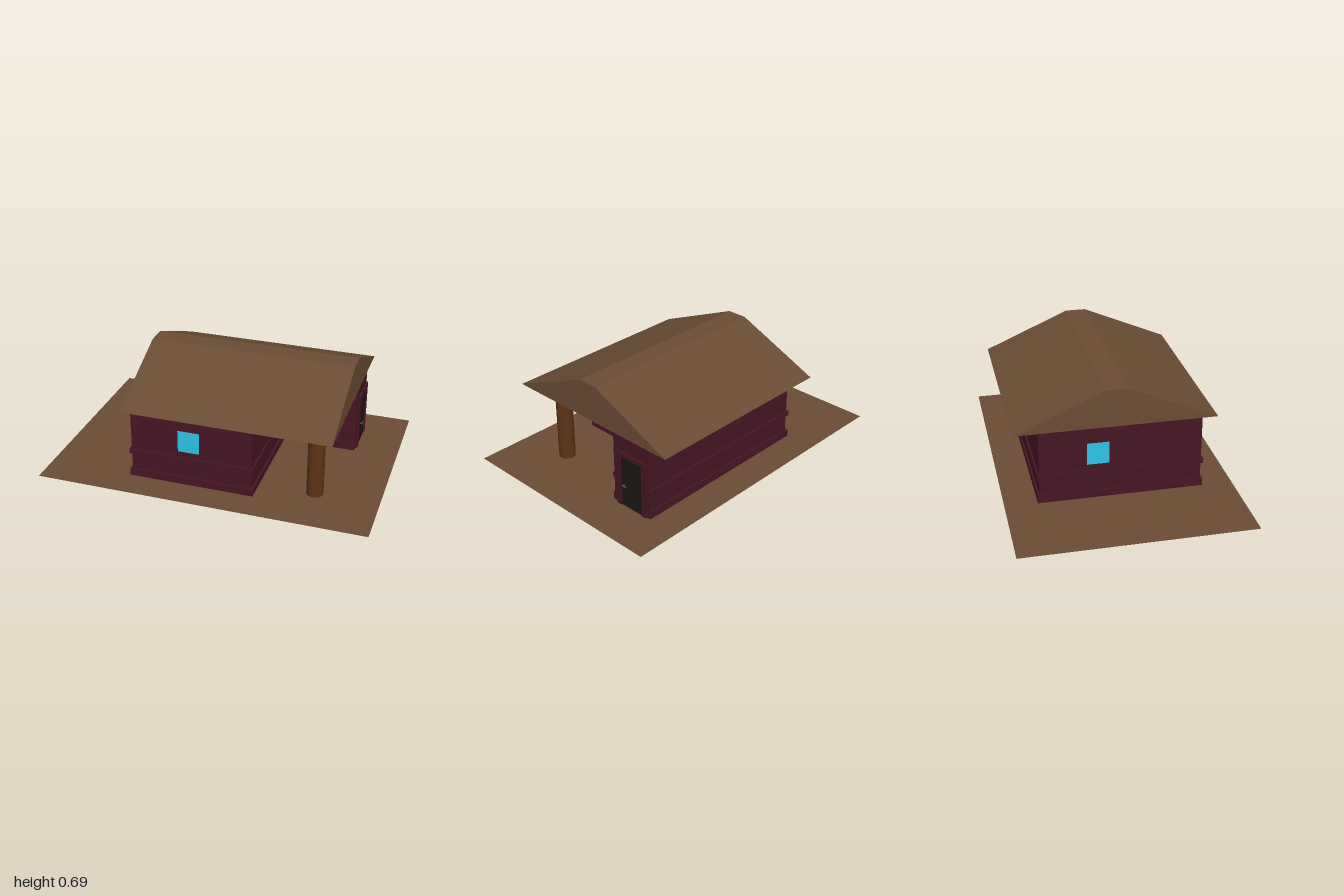
import * as THREE from 'three';

const mat = (color) => new THREE.MeshStandardMaterial({ color });
const earth = mat(0x6a4c33), roofMat = mat(0x6a4c33), plum = mat(0x451624);
const wood = mat(0x5c3416), glassMat = mat(0x30c4e6), doorMat = mat(0x1b1812), brass = mat(0x6e4a1e);
earth.side = THREE.DoubleSide;

// L-shaped floor plan, grown outward by o; xMax is the plain door wall
function plan(o, xMax) {
  const l = -0.47 - o, m = 0.27 + o, b = -0.475 - o, c = -0.205 + o, f = 0.487 + o;
  return [[l, f], [m, f], [m, c], [xMax, c], [xMax, b], [l, b]].map(([x, z]) => new THREE.Vector2(x, -z));
}

// Upright ring between two plans
function ring(name, outer, inner, y, h) {
  const shape = new THREE.Shape(outer);
  shape.holes.push(new THREE.Path(inner));
  const geo = new THREE.ExtrudeGeometry(shape, { depth: h, bevelEnabled: false });
  geo.rotateX(-Math.PI / 2).translate(0, y, 0);
  return named(name, geo, plum);
}

function named(name, geo, material) {
  const mesh = new THREE.Mesh(geo, material);
  mesh.name = name;
  return mesh;
}

function box(name, size, pos, material) {
  const mesh = named(name, new THREE.BoxGeometry(...size), material);
  mesh.position.set(...pos);
  return mesh;
}

// Square window facing +z: raised frame around a pane
function makeWindow(name, pos, turn) {
  const g = new THREE.Group();
  g.name = name;
  const rect = (w, h) => [[-w, -h], [w, -h], [w, h], [-w, h]].map(([x, y]) => new THREE.Vector2(x, y));
  const shape = new THREE.Shape(rect(0.094, 0.094));
  shape.holes.push(new THREE.Path(rect(0.067, 0.07)));
  const frame = new THREE.ExtrudeGeometry(shape, { depth: 0.012, bevelEnabled: false });
  frame.translate(0, 0, -0.004);
  g.add(named('windowFrame', frame, plum));
  g.add(box('windowPane', [0.134, 0.14, 0.006], [0, 0, 0], glassMat));
  g.position.set(...pos);
  g.rotation.y = turn;
  return g;
}

export function createModel() {
  const house = new THREE.Group();
  house.name = 'house';

  // Ground
  const ground = named('ground', new THREE.PlaneGeometry(2, 1.364).rotateX(-Math.PI / 2), earth);
  ground.position.y = 0.004;
  house.add(ground);

  // Walls with base board and belt board
  house.add(ring('walls', plan(0, 0.735), plan(-0.02, 0.715), 0, 0.466));
  house.add(ring('baseBoard', plan(0.012, 0.7345), plan(-0.001, 0.734), 0, 0.05));
  house.add(ring('beltBoard', plan(0.012, 0.7345), plan(-0.001, 0.734), 0.155, 0.03));

  // Roof with a flat ridge, overhanging the porch
  const gable = new THREE.Shape([[-0.57, 0.465], [0.62, 0.465], [0.09, 0.695], [-0.035, 0.695]]
    .map(([a, y]) => new THREE.Vector2(a, y)));
  const roofGeo = new THREE.ExtrudeGeometry(gable, { depth: 1.25, bevelEnabled: false });
  roofGeo.rotateY(Math.PI / 2).translate(-0.5, 0, 0);
  house.add(named('roof', roofGeo, roofMat));

  // Porch pillar
  const pillar = named('porchPillar', new THREE.CylinderGeometry(0.05, 0.05, 0.462, 32), wood);
  pillar.position.set(0.617, 0.235, 0.35);
  house.add(pillar);

  // Windows: front, porch side, far side
  house.add(makeWindow('frontWindow', [-0.11, 0.29, 0.487], 0));
  house.add(makeWindow('porchWindow', [0.27, 0.29, 0.12], Math.PI / 2));
  house.add(makeWindow('sideWindow', [-0.47, 0.29, -0.13], -Math.PI / 2));

  // Door with frame and handle
  const door = new THREE.Group();
  door.name = 'door';
  for (const [z, w] of [[-0.252, 0.034], [-0.448, 0.034]])
    door.add(box('doorJamb', [0.02, 0.355, w], [0.737, 0.1795, z], plum));
  door.add(box('doorLintel', [0.02, 0.026, 0.164], [0.737, 0.344, -0.35], plum));
  door.add(box('doorLeaf', [0.01, 0.327, 0.164], [0.736, 0.1675, -0.35], doorMat));
  door.add(box('handleStem', [0.018, 0.006, 0.006], [0.75, 0.148, -0.293], brass));
  door.add(box('handleLever', [0.006, 0.006, 0.03], [0.757, 0.148, -0.305], brass));
  house.add(door);

  return house;
}
